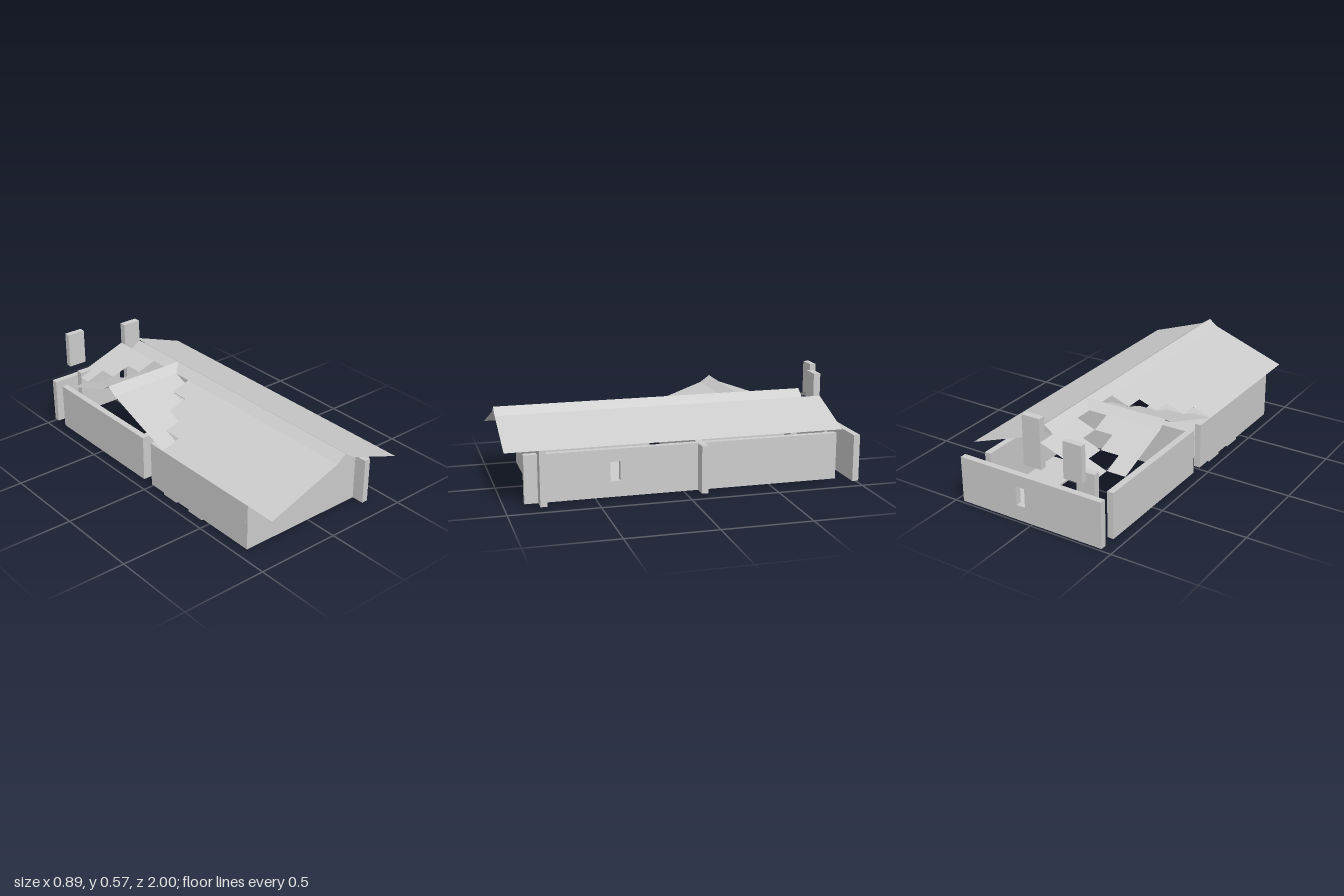
import * as THREE from 'three';

const S = 1 / 9;          // roof cell size in plan
const RISE = 0.04;        // roof rise per cell
const mat = new THREE.MeshStandardMaterial({ color: 0xcccccc, flatShading: true, side: THREE.DoubleSide });

export function createModel() {
  const root = new THREE.Group();
  const add = (name, geo) => {
    const m = new THREE.Mesh(geo, mat);
    m.name = name;
    root.add(m);
    return m;
  };
  // box given by its extents
  const box = (name, x0, x1, y0, y1, z0, z1) => {
    const g = new THREE.BoxGeometry(x1 - x0, y1 - y0, z1 - z0);
    g.translate((x0 + x1) / 2, (y0 + y1) / 2, (z0 + z1) / 2);
    return add(name, g);
  };
  // thin four-cornered panel, counter-clockwise from outside
  const quad = (name, a, b, c, d) => {
    const g = new THREE.BufferGeometry();
    g.setAttribute('position', new THREE.Float32BufferAttribute([...a, ...b, ...c, ...d], 3));
    g.setIndex([0, 1, 2, 0, 2, 3]);
    g.computeVertexNormals();
    return add(name, g);
  };
  // upright wall panel from an outline, with optional rectangular window
  const wall = (name, pts, depth, win) => {
    const s = new THREE.Shape(pts.map(p => new THREE.Vector2(...p)));
    if (win) {
      const [a, b, c, d] = win;
      s.holes.push(new THREE.Path([[a, c], [a, d], [b, d], [b, c]].map(p => new THREE.Vector2(...p))));
    }
    return add(name, new THREE.ExtrudeGeometry(s, { depth, bevelEnabled: false }));
  };
  const rect = (a, b, c, d) => [[a, c], [b, c], [b, d], [a, d]];

  const E = 0.445, T = 0.037, Y0 = 0.012, H = 0.28;

  // front gable, its top stepped beneath the roof
  const steps = [[-E, Y0], [E, Y0]];
  for (let i = 0; i < 3; i++) steps.push([E - i * S, 0.32 + i * RISE], [E - (i + 1) * S, 0.32 + i * RISE]);
  steps.push([S, 0.44], [0, 0.44]);
  for (let i = 0; i < 4; i++) steps.push([-i * S, 0.40 - i * RISE], [-(i + 1) * S, 0.40 - i * RISE]);
  wall('frontGable', steps, T).position.z = 0.78;

  // cross walls and long walls
  box('innerWall', -E, E, Y0, H, -0.11, -0.072);
  wall('backWall', rect(-E, E, Y0, H), T, [0.03, 0.085, 0.1, 0.21]).position.z = -1;
  const right = wall('rightWall', rect(-0.89, 0.89, Y0, H), T, [-0.42, -0.365, 0.1, 0.21]);
  right.rotation.y = Math.PI / 2;
  right.position.x = 1 / 3;
  box('leftBackWall', -E, -E + T, Y0, H, -0.89, -0.072);
  box('leftFrontWall', -E, -E + T, Y0, H, 0, 0.8);

  // floor plates
  box('frontFloor', -1 / 3, 2 * S, 0, Y0, 0, 6 * S);
  for (const z of [S, 3 * S]) box('floorTooth', -E, -1 / 3, 0, Y0, z, z + S);
  box('backFloor', S, 1 / 3, 0, Y0, -0.89, -1 / 3);

  // chimneys
  box('chimney', 0, S, H, 0.572, -0.89, -0.85);
  box('looseChimney', -1 / 3, -2 * S, 0.35, 0.56, -1, -0.965);
  box('chimneyBase', -1 / 3, -2 * S, Y0, 0.35, -0.89, -0.85);

  // right main slope
  quad('rightRoof', [S, 0.44, 1], [E, 0.32, 1], [E, 0.32, -0.89], [S, 0.44, -0.89]);

  // left main slope in strips, cut by the side wing
  for (let i = 0; i < 4; i++) {
    const xa = -(i + 1) * S, xb = -i * S, ya = 0.40 - i * RISE, yb = ya + RISE;
    const strip = (z0, z1) => quad('leftRoof', [xa, ya, z1], [xb, yb, z1], [xb, yb, z0], [xa, ya, z0]);
    strip((i - 2) * S, 1);
    if (i < 3) strip(-0.89, -(5 + i) * S);
  }

  // main ridge cap
  const peak = S / 2, zr = -7 * S;
  quad('ridge', [0, 0.44, 1], [peak, 0.48, 1], [peak, 0.48, zr], [0, 0.44, zr]);
  quad('ridge', [peak, 0.48, 1], [S, 0.44, 1], [S, 0.44, zr], [peak, 0.48, zr]);
  for (const z of [1, zr]) {
    quad('ridgeEnd', [0, 0.44, z], [S, 0.44, z], [peak, 0.48, z], [peak, 0.48, z]);
  }

  // side wing roof: rows narrowing towards the ridge, deeper on the front side
  for (let i = 0; i < 4; i++) {
    const ya = 0.40 - i * RISE, yb = ya + RISE;
    const zf = (i - 3) * S, zb = -(4 + i) * S;
    quad('wingFrontSlope', [-E, ya, zf + S], [-i * S, ya, zf + S], [-i * S, yb, zf], [-E, yb, zf]);
    if (i < 3) {
      const x = -(i + 1) * S;
      quad('wingBackSlope', [x, ya, zb - S], [-E, ya, zb - S], [-E, yb, zb], [x, yb, zb]);
    }
  }
  // side wing ridge cap, running into the main ridge
  const zm = -3.5 * S;
  quad('wingRidge', [-E, 0.44, -3 * S], [0, 0.44, -3 * S], [peak, 0.48, zm], [-E, 0.48, zm]);
  quad('wingRidge', [0, 0.44, -4 * S], [-E, 0.44, -4 * S], [-E, 0.48, zm], [peak, 0.48, zm]);

  return root;
}
